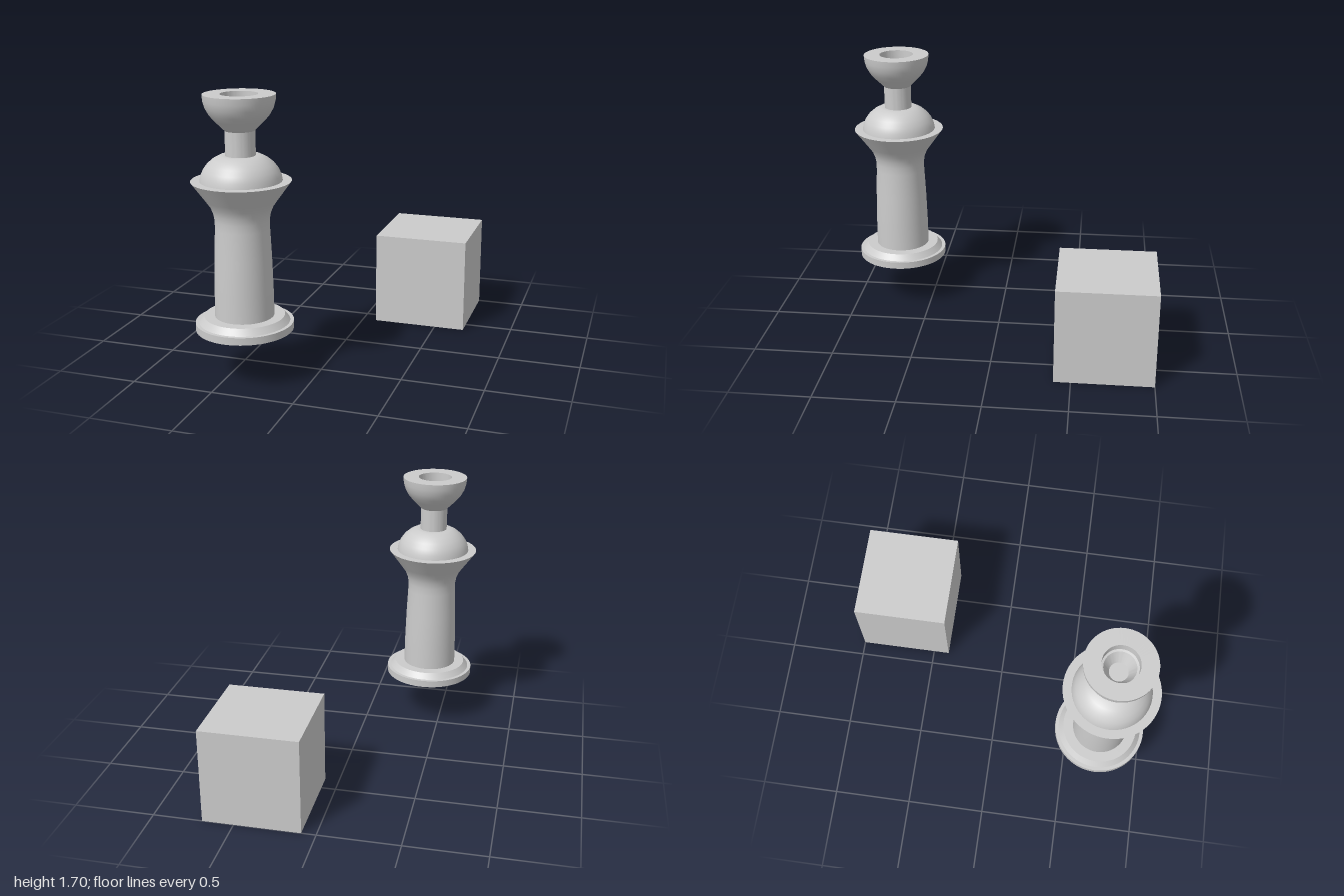
import * as THREE from 'three';
import { toCreasedNormals } from 'three/addons/utils/BufferGeometryUtils.js';

const material = new THREE.MeshStandardMaterial({ color: 0xcccccc });

// Turned part from [radius, height] pairs, listed from bottom to top
function turned(name, profile) {
  const points = profile.map(([r, y]) => new THREE.Vector2(r, y));
  const geometry = toCreasedNormals(new THREE.LatheGeometry(points, 64), 0.5);
  const mesh = new THREE.Mesh(geometry, material);
  mesh.name = name;
  return mesh;
}

export function createModel() {
  const model = new THREE.Group();
  model.name = 'pedestalAndBlock';

  // Turned pedestal
  const pedestal = new THREE.Group();
  pedestal.name = 'pedestal';
  pedestal.position.set(-0.405, 0, 0.705);
  pedestal.add(
    // Flat foot with a bevelled step
    turned('foot', [
      [0, 0.305], [0.29, 0.305], [0.29, 0.35], [0.268, 0.35],
      [0.238, 0.387], [0.175, 0.387],
    ]),
    // Tapered shaft flaring into a wide collar
    turned('shaft', [
      [0.175, 0.387], [0.173, 0.55], [0.167, 0.75], [0.159, 0.92], [0.159, 0.97],
      [0.166, 1.01], [0.182, 1.05], [0.21, 1.09], [0.29, 1.2], [0.237, 1.2],
    ]),
    // Rounded shoulder
    turned('dome', [
      [0.237, 1.2], [0.232, 1.23], [0.217, 1.265], [0.193, 1.298],
      [0.16, 1.326], [0.12, 1.347], [0.087, 1.347],
    ]),
    turned('neck', [[0.087, 1.347], [0.087, 1.49]]),
    // Cup with a thick rim and a stepped socket
    turned('cup', [
      [0.087, 1.49], [0.142, 1.545], [0.172, 1.58], [0.194, 1.62],
      [0.205, 1.66], [0.208, 1.697], [0.108, 1.697], [0.106, 1.637],
      [0.093, 1.634], [0.055, 1.555], [0, 1.555],
    ]),
  );
  model.add(pedestal);

  // Separate cube resting on the floor
  const size = 0.605;
  const block = new THREE.Mesh(new THREE.BoxGeometry(size, size, size), material);
  block.name = 'block';
  block.position.set(0.392, size / 2, -0.698);
  model.add(block);

  return model;
}
